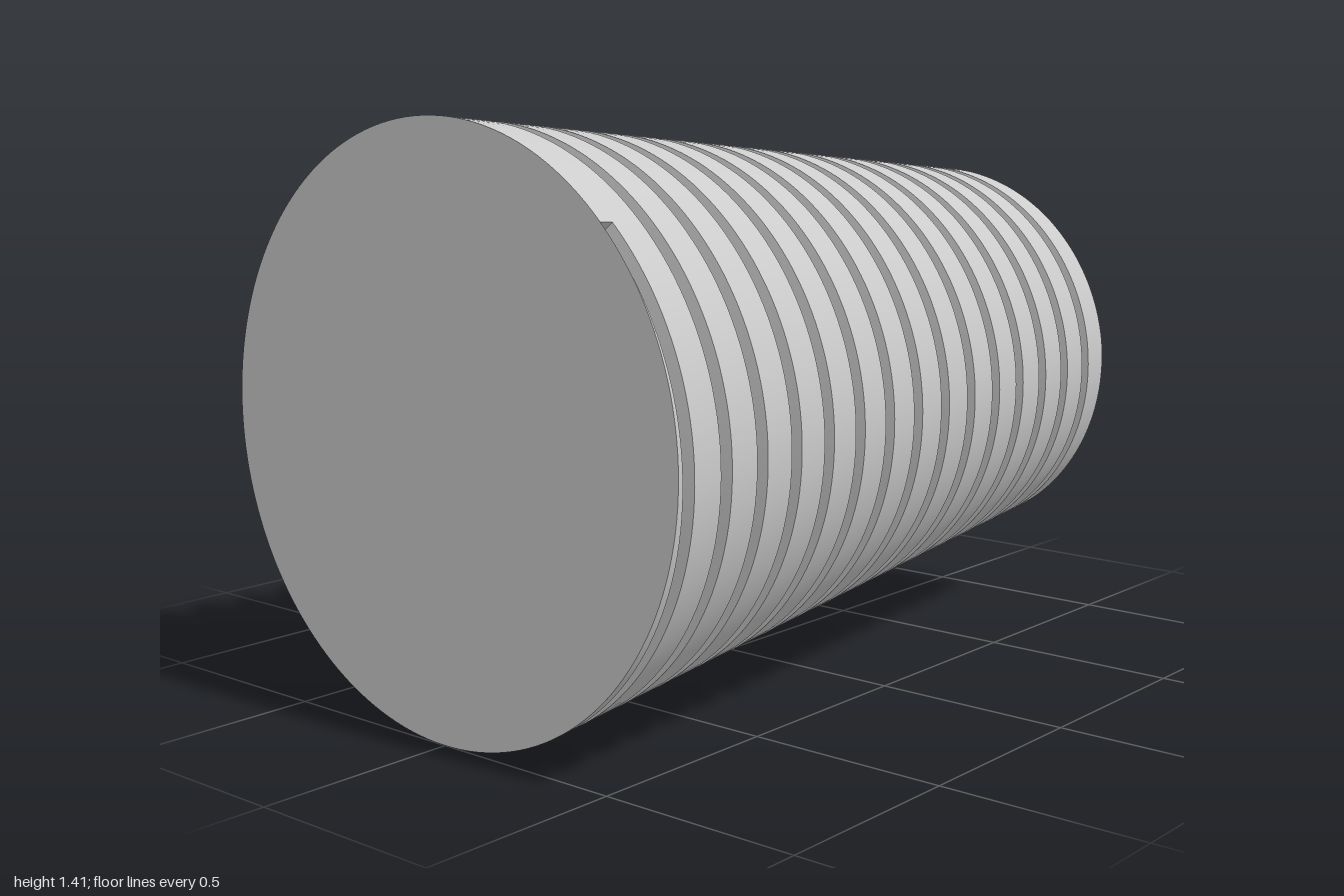
import * as THREE from 'three';
import { toCreasedNormals } from 'three/addons/utils/BufferGeometryUtils.js';

const AXIS_Y = 0.705;             // height of the cone's axis
const PITCH = 0.1325;             // groove advance per turn
const START_Z = 0.982;            // groove centre where it begins
const START_ANGLE = Math.PI / 4;
const END_U = 0.114;              // fraction of the last turn where the groove stops
const TURNS = 15;
const DEPTH = 0.068;
const OFFSETS = [0.02, 0.019, -0.007, -0.02]; // groove section: lip, floor, floor, lip
const COLUMNS = 160;

const outerRadius = (z) => 0.6125 + 0.0925 * z;

// Depth of the spiral groove at turn fraction u and position z
function grooveDepth(u, z) {
  const k = Math.round((START_Z - z) / PITCH - u);
  const t = k + u;
  if (t < 0 || t > TURNS + END_U + 1e-7) return 0;
  const d = z - (START_Z - t * PITCH);
  const [lipA, floorA, floorB, lipB] = OFFSETS;
  const rise = Math.min((lipA - d) / (lipA - floorA), (d - lipB) / (floorB - lipB));
  return DEPTH * THREE.MathUtils.clamp(rise, 0, 1);
}

// One line of points from the wide end to the narrow end
function makeColumn(u) {
  const angle = START_ANGLE - u * Math.PI * 2;
  const point = (z, r) =>
    new THREE.Vector3(r * Math.cos(angle), AXIS_Y + r * Math.sin(angle), z);
  const column = [point(1, outerRadius(1))];
  for (let k = -1; k <= TURNS; k++) {
    for (const offset of OFFSETS) {
      const z = THREE.MathUtils.clamp(START_Z - (k + u) * PITCH + offset, -1, 0.998);
      column.push(point(z, outerRadius(z) - grooveDepth(u, z)));
    }
  }
  column.push(point(-1, outerRadius(-1) - grooveDepth(u, -1)));
  return column;
}

function makeGroovedCone() {
  const positions = [];
  const cross = new THREE.Vector3(), ab = new THREE.Vector3(), ac = new THREE.Vector3();
  const triangle = (a, b, c) => {
    cross.crossVectors(ab.subVectors(b, a), ac.subVectors(c, a));
    if (cross.length() < 1e-11) return;
    for (const p of [a, b, c]) positions.push(p.x, p.y, p.z);
  };
  const quad = (a, b, c, d) => { triangle(a, b, c); triangle(b, d, c); };

  // Paired columns at the end of the groove give it an upright end wall
  const us = [END_U, END_U + 1e-5, 1 - 1e-5];
  for (let i = 0; i < COLUMNS; i++) us.push(i / COLUMNS);
  us.sort((a, b) => a - b);
  const columns = us.map(makeColumn);
  const last = columns[0].length - 1;
  const front = new THREE.Vector3(0, AXIS_Y, 1);
  const back = new THREE.Vector3(0, AXIS_Y, -1);

  columns.forEach((a, i) => {
    const seam = i === columns.length - 1;
    const b = columns[(i + 1) % columns.length];
    // Across the seam the thread moves on by one turn
    const shift = seam ? OFFSETS.length : 0;
    const at = (j) => b[Math.min(j === 0 ? 0 : j + shift, last)];
    for (let j = 0; j < last; j++) quad(a[j], at(j), a[j + 1], at(j + 1));
    if (seam) {
      for (let j = 0; j < shift; j++) triangle(a[0], b[j], b[j + 1]);
    }
    // End discs
    triangle(front, b[0], a[0]);
    triangle(back, a[last], b[last]);
  });

  const geometry = new THREE.BufferGeometry();
  geometry.setAttribute('position', new THREE.Float32BufferAttribute(positions, 3));
  return toCreasedNormals(geometry, 0.35);
}

export function createModel() {
  const group = new THREE.Group();
  group.name = 'taperedGroovedPlug';
  const material = new THREE.MeshStandardMaterial({ color: 0xcccccc, side: THREE.DoubleSide });
  const body = new THREE.Mesh(makeGroovedCone(), material);
  body.name = 'spiralGroovedCone';
  group.add(body);
  return group;
}
